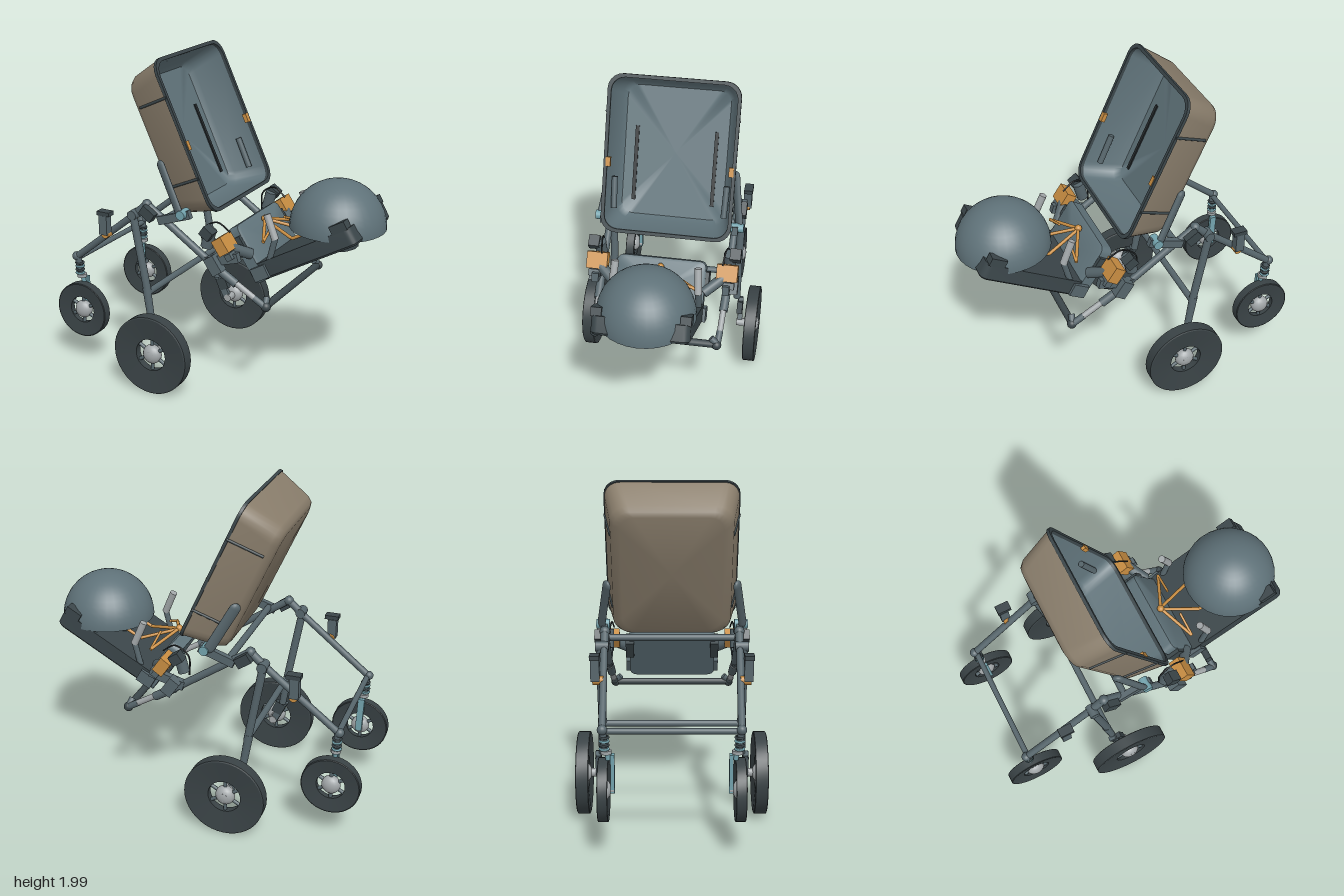
import * as THREE from 'three';
import { toCreasedNormals } from 'three/addons/utils/BufferGeometryUtils.js';

const mat = (name, color, side = THREE.FrontSide) => {
  const m = new THREE.MeshStandardMaterial({ color, side });
  m.name = name;
  return m;
};
const V = (x, y, z) => new THREE.Vector3(x, y, z);

// Skin through rounded rectangles given as [halfX, halfZ, cornerRadius, y]
function loft(sections, crease = 0.6) {
  const pos = [], idx = [], steps = 5, n = 4 * (steps + 1);
  for (const [a, b, r, y] of sections) {
    for (let c = 0; c < 4; c++) {
      const cx = (c === 0 || c === 3 ? 1 : -1) * (a - r), cz = (c < 2 ? 1 : -1) * (b - r);
      for (let k = 0; k <= steps; k++) {
        const t = (c + k / steps) * Math.PI / 2;
        pos.push(cx + r * Math.cos(t), y, cz + r * Math.sin(t));
      }
    }
  }
  for (let s = 0; s < sections.length - 1; s++) {
    for (let i = 0; i < n; i++) {
      const a = s * n + i, b = s * n + (i + 1) % n;
      idx.push(a, a + n, b + n, a, b + n, b);
    }
  }
  const g = new THREE.BufferGeometry();
  g.setAttribute('position', new THREE.Float32BufferAttribute(pos, 3));
  g.setIndex(idx);
  return toCreasedNormals(g, crease);
}

export function createModel() {
  const model = new THREE.Group();
  model.name = 'rover';
  const frame = mat('frame grey', 0x56656b), shell = mat('blue grey', 0x5f7279);
  const dark = mat('dark grey', 0x3b464a), tyre = mat('tyre', 0x394245);
  const tan = mat('tan', 0x8a7e6c), light = mat('light grey', 0xa2a7a9);
  const orange = mat('orange', 0xc88d42), teal = mat('teal', 0x73a3ad);
  const black = mat('black', 0x24292b);

  const add = (name, geo, m, p = V(0, 0, 0), parent = model) => {
    const mesh = new THREE.Mesh(geo, m);
    mesh.name = name;
    mesh.position.copy(p);
    parent.add(mesh);
    return mesh;
  };
  const along = (mesh, p, q) => {
    mesh.position.copy(p).add(q).multiplyScalar(0.5);
    mesh.quaternion.setFromUnitVectors(V(0, 1, 0), q.clone().sub(p).normalize());
    return mesh;
  };
  const rod = (name, p, q, r, m = frame, parent = model, r2 = r) =>
    along(add(name, new THREE.CylinderGeometry(r2, r, p.distanceTo(q), 14), m, p, parent), p, q);
  const bar = (name, p, q, w, d, m = frame, parent = model) =>
    along(add(name, new THREE.BoxGeometry(w, p.distanceTo(q), d), m, p, parent), p, q);
  const box = (name, w, h, d, m, p, rot = 0, parent = model) => {
    const b = add(name, new THREE.BoxGeometry(w, h, d), m, p, parent);
    b.rotation.z = rot;
    return b;
  };
  const ball = (name, r, m, p, parent = model) => add(name, new THREE.SphereGeometry(r, 18, 12), m, p, parent);
  const tilted = (name, x, y, rot) => {
    const g = new THREE.Group();
    g.name = name;
    g.position.set(x, y, 0);
    g.rotation.z = rot;
    model.add(g);
    return g;
  };

  // Raised tray: tan outside, grey lining, dark rim
  const tray = tilted('tray', -0.0775, 1.5725, -1.143);
  add('trayShell', loft([[0, 0, 0, -0.27], [0.38, 0.29, 0.08, -0.27], [0.41, 0.325, 0.09, -0.258],
    [0.428, 0.345, 0.1, -0.225], [0.462, 0.383, 0.09, -0.015]], 0.9), tan, undefined, tray);
  add('trayRim', loft([[0.455, 0.376, 0.09, -0.018], [0.467, 0.388, 0.09, -0.018], [0.467, 0.388, 0.09, 0],
    [0.446, 0.367, 0.08, 0], [0.446, 0.367, 0.08, -0.02]]), dark, undefined, tray);
  add('trayLining', loft([[0.448, 0.369, 0.08, -0.01], [0.415, 0.335, 0.08, -0.215],
    [0.39, 0.31, 0.07, -0.25], [0, 0, 0, -0.25]], 0.9), shell, undefined, tray);
  for (const s of [1, -1]) {
    for (const u of [-0.245, 0.245])
      rod('trayRib', V(u, -0.005, s * 0.386), V(u, -0.225, s * 0.346), 0.008, dark, tray);
    box('floorSlot', 0.45, 0.008, 0.022, black, V(0.08, -0.245, s * 0.24), 0, tray);
    box('rimLatch', 0.055, 0.025, 0.028, orange, V(0.05, -0.01, s * 0.362), 0, tray);
    rod('wallPiston', V(0.15, -0.1, s * 0.335), V(0.34, -0.1, s * 0.33), 0.018, frame, tray);
  }

  // Folded lower body: back plate, base slab and dome
  const back = tilted('backPlate', 0.235, 0.865, -0.985);
  add('backPanel', loft([[0, 0, 0, 0], [0.18, 0.265, 0.04, 0], [0.18, 0.265, 0.04, 0.07],
    [0.165, 0.25, 0.04, 0.08], [0, 0, 0, 0.08]]), shell, undefined, back);
  const slab = tilted('baseSlab', 0.655, 0.91, 0.513);
  add('slabBody', loft([[0, 0, 0, 0], [0.32, 0.262, 0.035, 0], [0.33, 0.272, 0.04, 0.012],
    [0.33, 0.272, 0.04, 0.105], [0, 0, 0, 0.105]]), dark, undefined, slab);
  for (const s of [1, -1]) {
    box('cornerBlock', 0.1, 0.05, 0.06, dark, V(0.27, 0.125, s * 0.245), 0, slab);
    box('hingeBlock', 0.12, 0.09, 0.05, dark, V(0.22, 0.93, s * 0.262), -0.985);
    box('slabHinge', 0.1, 0.08, 0.05, frame, V(0.36, 0.8, s * 0.265), 0.513);
  }
  add('dome', new THREE.SphereGeometry(0.28, 32, 12, 0, Math.PI * 2, 0, Math.PI / 2), shell, V(0.717, 1.06, 0));
  add('domeBase', new THREE.CircleGeometry(0.28, 32), dark, V(0.717, 1.06, 0)).rotation.x = Math.PI / 2;
  rod('domePedestal', V(0.7, 0.95, 0), V(0.7, 1.06, 0), 0.14, dark);

  // Orange truss in front of the dome
  ball('trussJoint', 0.022, orange, V(0.25, 1.03, 0));
  for (const s of [1, -1]) {
    rod('trussSide', V(0.25, 1.03, 0), V(0.35, 0.97, s * 0.22), 0.01, orange);
    rod('trussBrace', V(0.24, 1.03, 0), V(0.47, 0.97, s * 0.09), 0.01, orange);
    rod('trussStrut', V(0.47, 0.97, s * 0.09), V(0.6, 1.04, s * 0.09), 0.01, orange);
    rod('trussPost', V(0.34, 1.03, s * 0.08), V(0.35, 0.97, s * 0.22), 0.008, orange);
  }

  // Wheel with hub and spokes, axis along z
  const wheel = (name, x, y, z, r, w, hole, hubR, s) => {
    const g = new THREE.Group();
    g.name = name;
    g.position.set(x, y, z);
    model.add(g);
    const h = w / 2, prof = [[hole, -h * 0.6], [r * 0.97, -h], [r, -h * 0.9], [r, h * 0.9],
      [r * 0.97, h], [hole, h * 0.6], [hole, -h * 0.6]].map(p => new THREE.Vector2(...p));
    add('tyre', toCreasedNormals(new THREE.LatheGeometry(prof, 40), 0.5), tyre, undefined, g).rotation.x = Math.PI / 2;
    ball('hub', hubR, light, V(0, 0, 0), g).scale.z = 0.75;
    rod('hubCap', V(0, 0, 0), V(0, 0, s * h * 1.05), hubR * 0.45, light, g);
    for (let i = 0; i < 6; i++) {
      const t = (i + 0.5) * Math.PI / 3, c = Math.cos(t), d = Math.sin(t);
      rod('spoke', V(c * hubR * 0.8, d * hubR * 0.8, 0), V(c * hole * 1.02, d * hole * 1.02, 0), 0.011, frame, g);
    }
  };

  for (const s of [1, -1]) {
    const P = (x, y, z) => V(x, y, z * s);
    wheel('bigWheel', -0.23, 0.255, s * 0.522, 0.245, 0.076, 0.1, 0.06, s);
    wheel('smallWheel', -0.825, 0.365, s * 0.372, 0.176, 0.058, 0.085, 0.057, s);

    // Rocker tubes
    rod('rearArm', P(-0.42, 1.06, 0.385), P(-0.86, 0.71, 0.375), 0.021);
    rod('rockerCrown', P(-0.43, 1.05, 0.385), P(-0.33, 1.14, 0.385), 0.024);
    rod('frontArm', P(-0.335, 1.145, 0.385), P(0.16, 0.81, 0.385), 0.022);
    rod('frontArmSleeve', P(0.13, 0.83, 0.385), P(0.26, 0.75, 0.38), 0.026);
    rod('frontArmTube', P(0.24, 0.765, 0.38), P(0.38, 0.68, 0.375), 0.018, light);
    rod('frontArmTip', P(0.37, 0.685, 0.375), P(0.44, 0.642, 0.37), 0.02);
    ball('tipBall', 0.029, dark, P(0.442, 0.64, 0.365));
    ball('crownJoint', 0.03, frame, P(-0.33, 1.14, 0.385));
    rod('crownPivot', P(-0.41, 1.07, 0.36), P(-0.41, 1.07, 0.435), 0.03);

    // Leg and steering bracket of the big wheel
    rod('leg', P(-0.415, 1.08, 0.41), P(-0.325, 0.58, 0.405), 0.024);
    rod('legSleeve', P(-0.335, 0.62, 0.405), P(-0.3, 0.4, 0.41), 0.026, frame, model, 0.022);
    bar('wheelBracket', P(-0.31, 0.4, 0.435), P(-0.23, 0.24, 0.44), 0.045, 0.03);
    box('wheelMotor', 0.07, 0.08, 0.035, dark, P(-0.27, 0.35, 0.435), 0.4);
    rod('bigAxle', P(-0.23, 0.255, 0.42), P(-0.23, 0.255, 0.52), 0.025, light);

    // Sprung strut of the small wheel
    ball('strutJoint', 0.028, frame, P(-0.86, 0.715, 0.375));
    rod('strutTop', P(-0.85, 0.72, 0.375), P(-0.845, 0.61, 0.365), 0.02);
    rod('strutCore', P(-0.845, 0.66, 0.365), P(-0.835, 0.54, 0.345), 0.014, teal);
    for (let i = 0; i < 4; i++)
      add('springCoil', new THREE.TorusGeometry(0.023, 0.007, 6, 16), i % 2 ? teal : dark,
        P(-0.846, 0.67 - i * 0.022, 0.365)).rotation.x = Math.PI / 2;
    rod('springSeat', P(-0.84, 0.575, 0.355), P(-0.84, 0.595, 0.355), 0.03, light);
    bar('strutArm', P(-0.835, 0.57, 0.322), P(-0.825, 0.35, 0.322), 0.04, 0.022, teal);
    rod('smallAxle', P(-0.825, 0.365, 0.315), P(-0.825, 0.365, 0.37), 0.022, light);

    // Small sensor post on the rear arm
    box('sensorBody', 0.055, 0.12, 0.05, frame, P(-0.605, 0.98, 0.425));
    box('sensorCap', 0.085, 0.025, 0.055, dark, P(-0.6, 1.055, 0.428));
    rod('sensorClamp', P(-0.6, 0.92, 0.38), P(-0.6, 0.92, 0.44), 0.025, orange);

    // Lift levers and links joining tray to frame
    const lever = along(add('liftLever', new THREE.CapsuleGeometry(0.034, 0.28, 6, 14), frame),
      P(-0.24, 1.4, 0.375), P(-0.09, 1.13, 0.42));
    lever.scale.z = 0.55;
    bar('trayLink', P(-0.24, 1.06, 0.4), P(-0.03, 1.13, 0.4), 0.05, 0.035);
    rod('trayPivot', P(-0.07, 1.13, 0.37), P(-0.07, 1.13, 0.45), 0.028, teal);
    box('pivotMotor', 0.09, 0.06, 0.05, dark, P(-0.3, 1.1, 0.42), -0.6);

    // Front knuckle, orange actuator and arm to the lower body
    rod('knuckle', P(0.07, 0.95, 0.39), P(0.1, 1.06, 0.39), 0.035);
    box('knuckleHead', 0.07, 0.06, 0.065, dark, P(0.1, 1.05, 0.425), -0.6);
    box('actuator', 0.07, 0.1, 0.125, orange, P(0.19, 0.985, 0.388), 0.6);
    box('actuatorEnd', 0.04, 0.04, 0.07, frame, P(0.235, 0.925, 0.4), 0.6);
    box('armClamp', 0.07, 0.11, 0.06, frame, P(0.14, 0.86, 0.42), 0.6);
    bar('bodyLink', P(0.07, 0.86, 0.39), P(0.28, 0.92, 0.39), 0.055, 0.04);
    rod('bodyArm', P(0.2, 0.97, 0.38), P(0.29, 0.9, 0.26), 0.032);
    rod('guideRod', P(0.38, 1.15, 0.24), P(0.44, 1.01, 0.25), 0.022, light);
    rod('guideStay', P(0.44, 1.02, 0.25), P(0.4, 0.86, 0.25), 0.018);
    rod('tipLink', P(0.44, 0.645, 0.37), P(0.43, 0.68, 0.33), 0.02);
    const wire = new THREE.CatmullRomCurve3([P(0.04, 0.93, 0.38), P(0.045, 1.05, 0.38),
      P(0.13, 1.1, 0.37), P(0.21, 1.05, 0.36)]);
    add('cable', new THREE.TubeGeometry(wire, 20, 0.005, 6), black);
  }

  // Cross bars
  rod('rearCrossBar', V(-0.85, 0.705, -0.375), V(-0.85, 0.705, 0.375), 0.017);
  rod('legCrossBar', V(-0.325, 0.59, -0.4), V(-0.325, 0.59, 0.4), 0.02);
  rod('frontCrossBar', V(0.44, 0.642, -0.37), V(0.44, 0.642, 0.37), 0.022, dark);
  rod('trayCrossBar', V(-0.2, 1.075, -0.4), V(-0.2, 1.075, 0.4), 0.02);
  return model;
}
